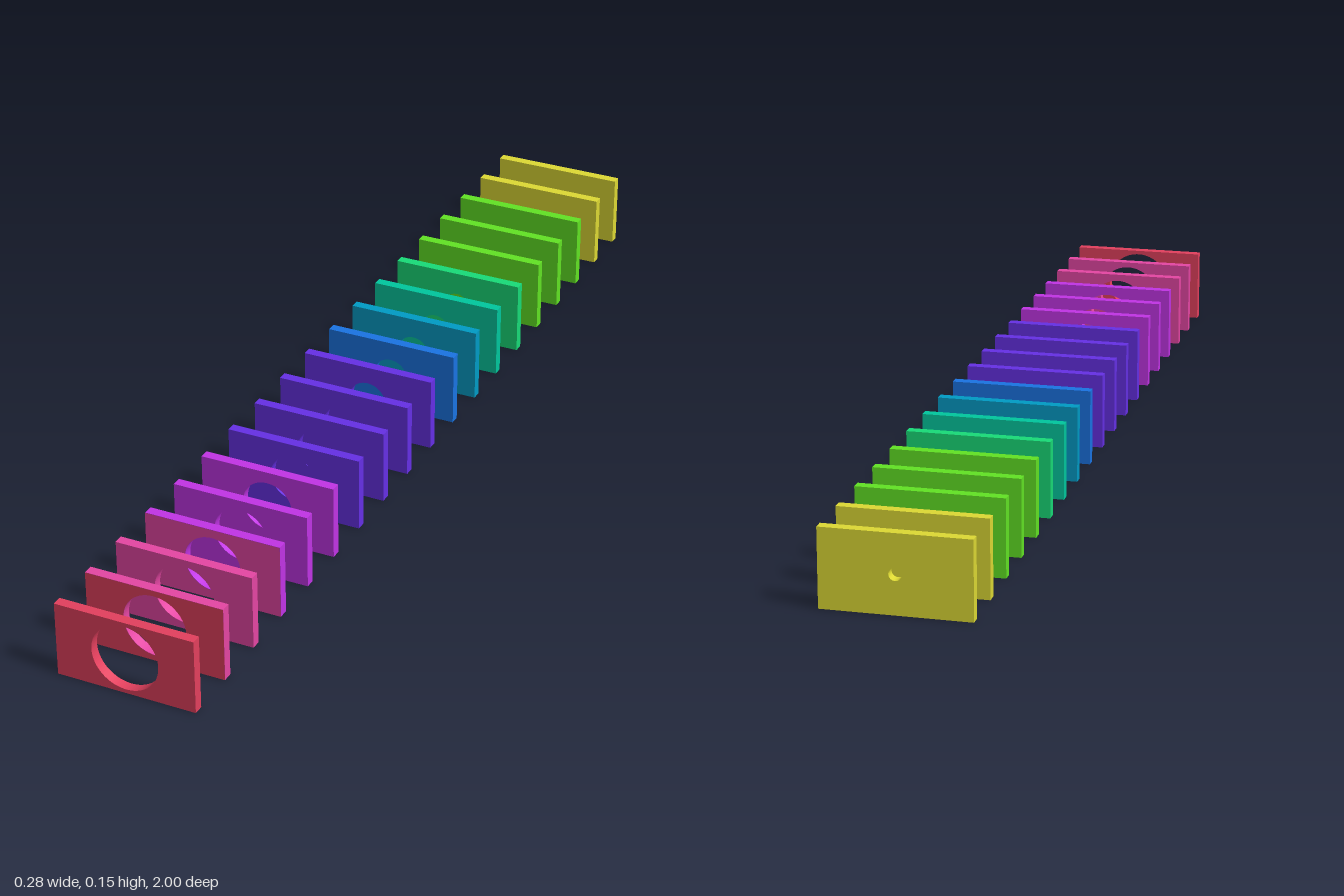
import * as THREE from 'three';

const COUNT = 19, W = 0.278, H = 0.15, T = 0.02;
const COLORS = {
  red: 0xe4405e, pink: 0xe646a4, purple: 0xc234e6, indigo: 0x6630e6, blue: 0x1a74e4,
  cerulean: 0x009cc6, teal: 0x00c89e, green: 0x18dc78, lime: 0x62e424, olive: 0xdeda34,
};
// colour of each plate from front to back
const ORDER = [
  'red', 'pink', 'pink', 'purple', 'purple', 'purple', 'indigo', 'indigo', 'indigo', 'indigo',
  'blue', 'cerulean', 'teal', 'green', 'lime', 'lime', 'lime', 'olive', 'olive',
];
// plates whose front face takes the colour of the plate ahead
const FACES = { 1: 'red', 3: 'pink' };

// rectangle with a round hole in the middle
function plateShape(radius) {
  const s = new THREE.Shape();
  s.moveTo(-W / 2, 0).lineTo(W / 2, 0).lineTo(W / 2, H).lineTo(-W / 2, H).closePath();
  const hole = new THREE.Path();
  hole.absarc(0, H / 2, radius, 0, Math.PI * 2, true);
  s.holes.push(hole);
  return s;
}

export function createModel() {
  const model = new THREE.Group();
  model.name = 'taperedPlateRow';
  const mats = {};
  for (const [name, color] of Object.entries(COLORS)) {
    mats[name] = new THREE.MeshStandardMaterial({ color });
    mats[name].name = name;
  }

  for (let i = 0; i < COUNT; i++) {
    const t = i / (COUNT - 1);
    const shape = plateShape(THREE.MathUtils.lerp(0.067, 0.012, t));
    const back = 1 - T - t * (2 - T);

    // drilled plate, with the bore shrinking towards the back
    const geo = new THREE.ExtrudeGeometry(shape, { depth: T, bevelEnabled: false, curveSegments: 48 });
    const plate = new THREE.Mesh(geo, mats[ORDER[i]]);
    plate.name = `plate${i + 1}`;
    plate.position.z = back;
    model.add(plate);

    // painted front face
    if (FACES[i]) {
      const face = new THREE.Mesh(new THREE.ShapeGeometry(shape, 48), mats[FACES[i]]);
      face.name = `plateFace${i + 1}`;
      face.position.z = back + T + 0.001;
      model.add(face);
    }
  }
  return model;
}
